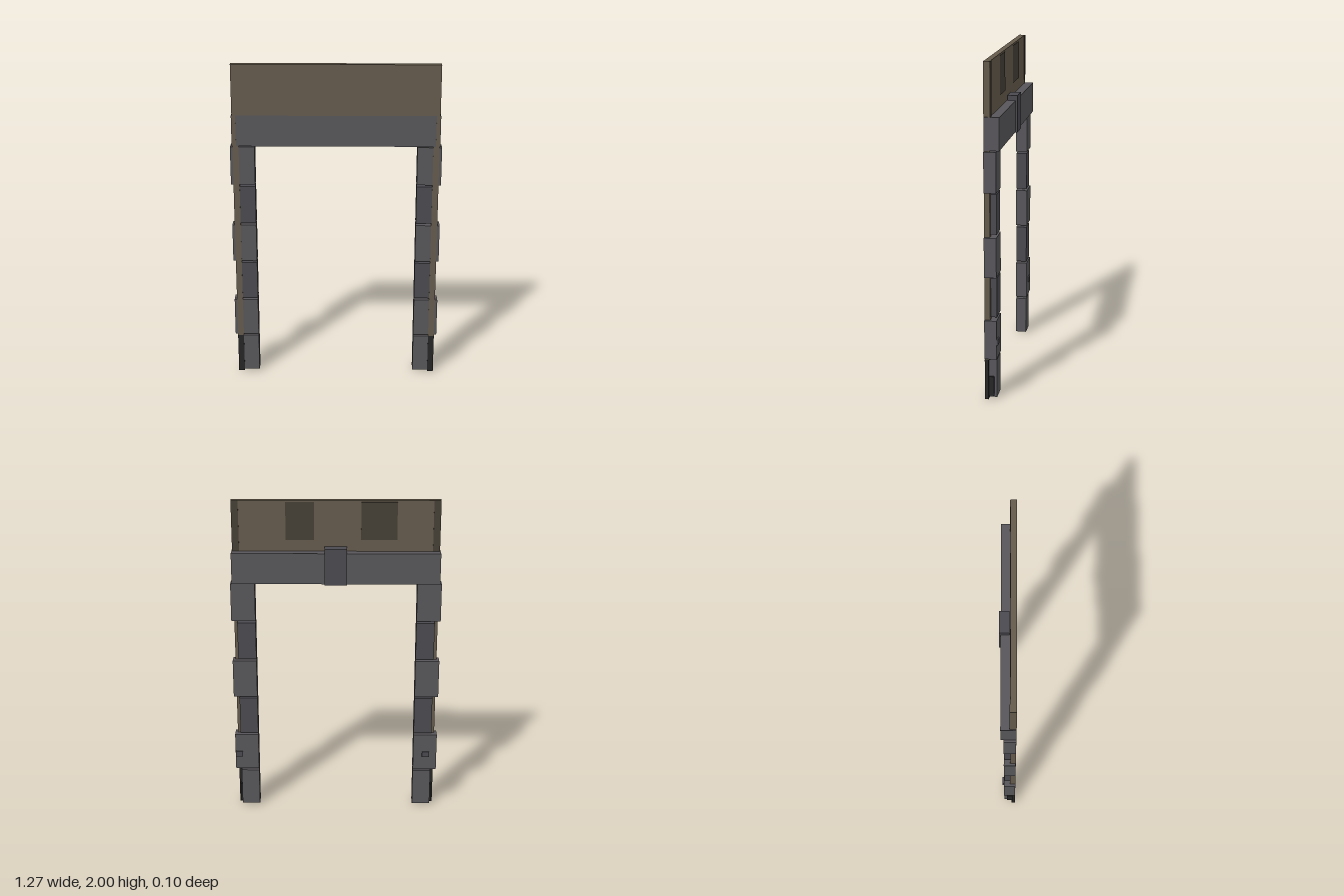
import * as THREE from 'three';

const mat = (color) => new THREE.MeshStandardMaterial({ color });

export function createModel() {
  const model = new THREE.Group();
  const plaster = mat(0x655b4c), plasterDark = mat(0x453f36);
  const stone = mat(0x58565a), stoneDark = mat(0x4b4a50), skirting = mat(0x262627);

  // Box given by its minimum and maximum on each axis
  function box(name, material, [x0, x1], [y0, y1], [z0, z1], parent = model) {
    const geometry = new THREE.BoxGeometry(x1 - x0, y1 - y0, z1 - z0);
    const mesh = new THREE.Mesh(geometry, material);
    mesh.position.set((x0 + x1) / 2, (y0 + y1) / 2, (z0 + z1) / 2);
    mesh.name = name;
    parent.add(mesh);
    return mesh;
  }

  // Same box on the left or right side of the doorway
  function sideBox(name, side, material, [x0, x1], y, z, parent) {
    return box(name, material, side > 0 ? [x0, x1] : [-x1, -x0], y, z, parent);
  }

  // Plaster panel above the door, with darker patches on its back
  box('upperWall', plaster, [-0.622, 0.622], [1.69, 2], [0.014, 0.05]);
  box('wallPatch', plasterDark, [0.13, 0.3], [1.76, 1.99], [0.012, 0.02]);
  box('wallPatch', plasterDark, [-0.365, -0.15], [1.76, 1.99], [0.012, 0.02]);

  // Stone lintel and keystone
  box('lintel', stone, [-0.626, 0.626], [1.5, 1.69], [-0.04, 0.049]);
  box('keystone', stoneDark, [-0.067, 0.067], [1.495, 1.72], [-0.05, 0.01]);

  for (const side of [1, -1]) {
    const jamb = new THREE.Group();
    jamb.name = side > 0 ? 'leftJamb' : 'rightJamb';
    model.add(jamb);

    // Wall edge beside the door, with a dark skirting at its foot
    sideBox('wallEdge', side, plaster, [0.585, 0.622], [0.25, 1.5], [0.016, 0.0495], jamb);
    sideBox('lintelEdge', side, plaster, [0.6, 0.622], [1.5, 1.69], [0.02, 0.05], jamb);
    sideBox('upperEdge', side, plasterDark, [0.58, 0.621], [1.69, 1.999], [0.011, 0.03], jamb);
    sideBox('skirting', side, skirting, [0.585, 0.622], [0, 0.25], [0.028, 0.05], jamb);
    sideBox('skirtingStub', side, skirting, [0.585, 0.612], [0.02, 0.14], [-0.004, 0.03], jamb);

    // Alternating narrow and wide stones
    for (let i = 0; i < 6; i++) {
      const wide = i % 2 === 1;
      const y = 0.01 + i * 0.2495;
      sideBox(wide ? 'wideStone' : 'narrowStone', side, wide || i === 0 ? stone : stoneDark,
        [0.49, wide ? 0.637 : 0.602], [y, y + 0.237],
        [wide ? -0.023 : -0.02, wide ? 0.049 : 0.047], jamb);
    }
  }

  // Small latch blocks on the back of the lower wide stones
  box('latchBlock', stoneDark, [0.59, 0.636], [0.348, 0.383], [-0.032, -0.02]);
  box('latchBlock', stoneDark, [-0.59, -0.545], [0.348, 0.383], [-0.032, -0.02]);

  return model;
}
